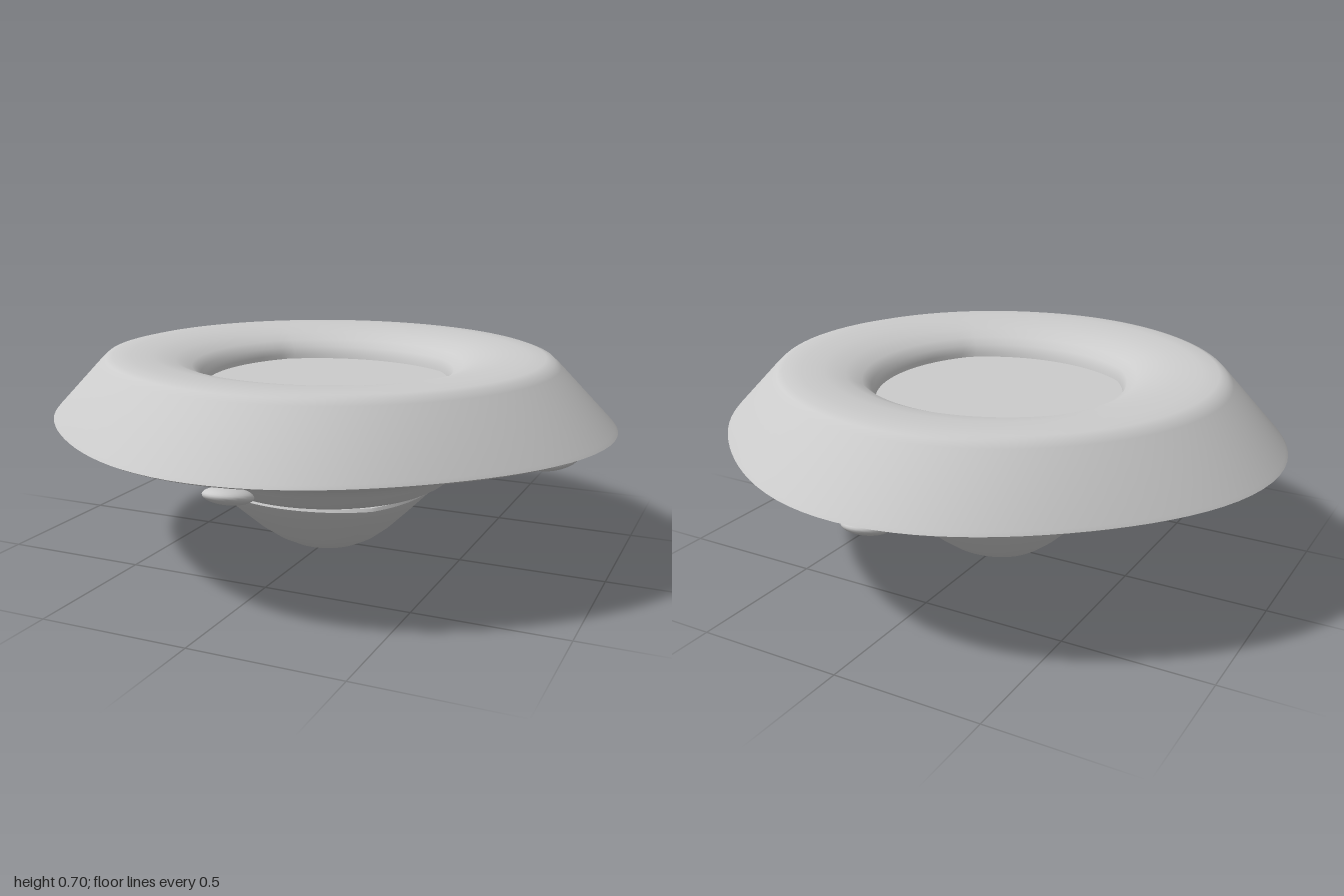
import * as THREE from 'three';
import { toCreasedNormals } from 'three/addons/utils/BufferGeometryUtils.js';

const SEGMENTS = 96;

// Radius of a ring at an angle: an ellipse, with four bowed arcs (bow) or softly flattened diagonals (flat)
function ringRadius([rx, rz, , bow = 0, flat = 0], angle) {
  const c = Math.cos(angle) ** 2;
  const nearestAxis = Math.max(Math.abs(Math.cos(angle)), Math.abs(Math.sin(angle)));
  return rx * c + rz * (1 - c) + bow * (1 - nearestAxis) + flat * (Math.cos(4 * angle) - 1);
}

// Skin through rings [rx, rz, y, bow, flat], listed from the top centre outwards and down
function loft(rings, crease) {
  const pos = [], index = [], n = SEGMENTS;
  rings.forEach((ring) => {
    for (let j = 0; j < n; j++) {
      const a = (j / n) * Math.PI * 2;
      const r = ring[0] === 0 ? 0 : ringRadius(ring, a);
      pos.push(r * Math.cos(a), ring[2], r * Math.sin(a));
    }
  });
  for (let i = 0; i < rings.length - 1; i++) {
    for (let j = 0; j < n; j++) {
      const k = (j + 1) % n;
      const a = i * n + j, b = a + n, c = i * n + k, d = c + n;
      if (rings[i + 1][0] !== 0) index.push(a, d, b);
      if (rings[i][0] !== 0) index.push(a, c, d);
    }
  }
  const geo = new THREE.BufferGeometry();
  geo.setAttribute('position', new THREE.Float32BufferAttribute(pos, 3));
  geo.setIndex(index);
  return toCreasedNormals(geo, crease);
}

export function createModel() {
  const model = new THREE.Group();
  const material = new THREE.MeshStandardMaterial({ color: 0xcccccc });
  const add = (name, geometry) => {
    const mesh = new THREE.Mesh(geometry, material);
    mesh.name = name;
    model.add(mesh);
    return mesh;
  };

  // Flat floor of the opening in the top
  add('recessedFloor', loft([[0, 0, 0.595], [0.43, 0.42, 0.595, 0.07]], 0.5));

  // Saucer: opening wall, rounded top, sloping side, sharp rim, shallow underside and neck
  add('saucerHull', loft([
    [0.42, 0.41, 0.585, 0.07],
    [0.422, 0.414, 0.61, 0.07],
    [0.435, 0.428, 0.637, 0.06],
    [0.47, 0.46, 0.66, 0.04],
    [0.53, 0.515, 0.682, 0.02],
    [0.61, 0.59, 0.696],
    [0.69, 0.665, 0.7],
    [0.75, 0.72, 0.699],
    [0.78, 0.75, 0.692, 0, 0.005],
    [0.802, 0.77, 0.674, 0, 0.007],
    [0.99, 0.948, 0.49, 0, 0.023],
    [1, 0.957, 0.479, 0, 0.0245],
    [0.985, 0.943, 0.472, 0, 0.023],
    [0.55, 0.525, 0.345],
    [0.515, 0.49, 0.332],
    [0.475, 0.46, 0.302],
    [0.43, 0.42, 0.262],
    [0.405, 0.4, 0.248],
    [0.36, 0.36, 0.245, 0.06],
  ], 0.75));

  // Bowl hanging below the neck, with soft corners on the diagonals
  add('lowerDome', loft([
    [0.34, 0.34, 0.247, 0.085],
    [0.375, 0.375, 0.243, 0.085],
    [0.38, 0.38, 0.232, 0.085],
    [0.368, 0.368, 0.215, 0.085],
    [0.3, 0.3, 0.146, 0.06],
    [0.235, 0.235, 0.083, 0.04],
    [0.185, 0.185, 0.044, 0.02],
    [0.135, 0.135, 0.017],
    [0.085, 0.085, 0.003],
    [0.05, 0.05, 0],
    [0, 0, 0],
  ], 0.6));

  // Four flattened pods under the rim, tilted along the underside
  const podGeometry = new THREE.SphereGeometry(1, 28, 16).scale(0.079, 0.027, 0.077);
  const pods = [
    ['leftPod', 0.812, 0.01, 0],
    ['backPod', 0.02, -0.78, Math.PI / 2],
    ['rightPod', -0.828, 0.01, Math.PI],
    ['frontPod', 0.025, 0.775, -Math.PI / 2],
  ];
  pods.forEach(([name, x, z, turn]) => {
    const pod = add(name, podGeometry);
    pod.position.set(x, 0.394, z);
    pod.rotation.set(0, turn, 0.24);
  });

  return model;
}
